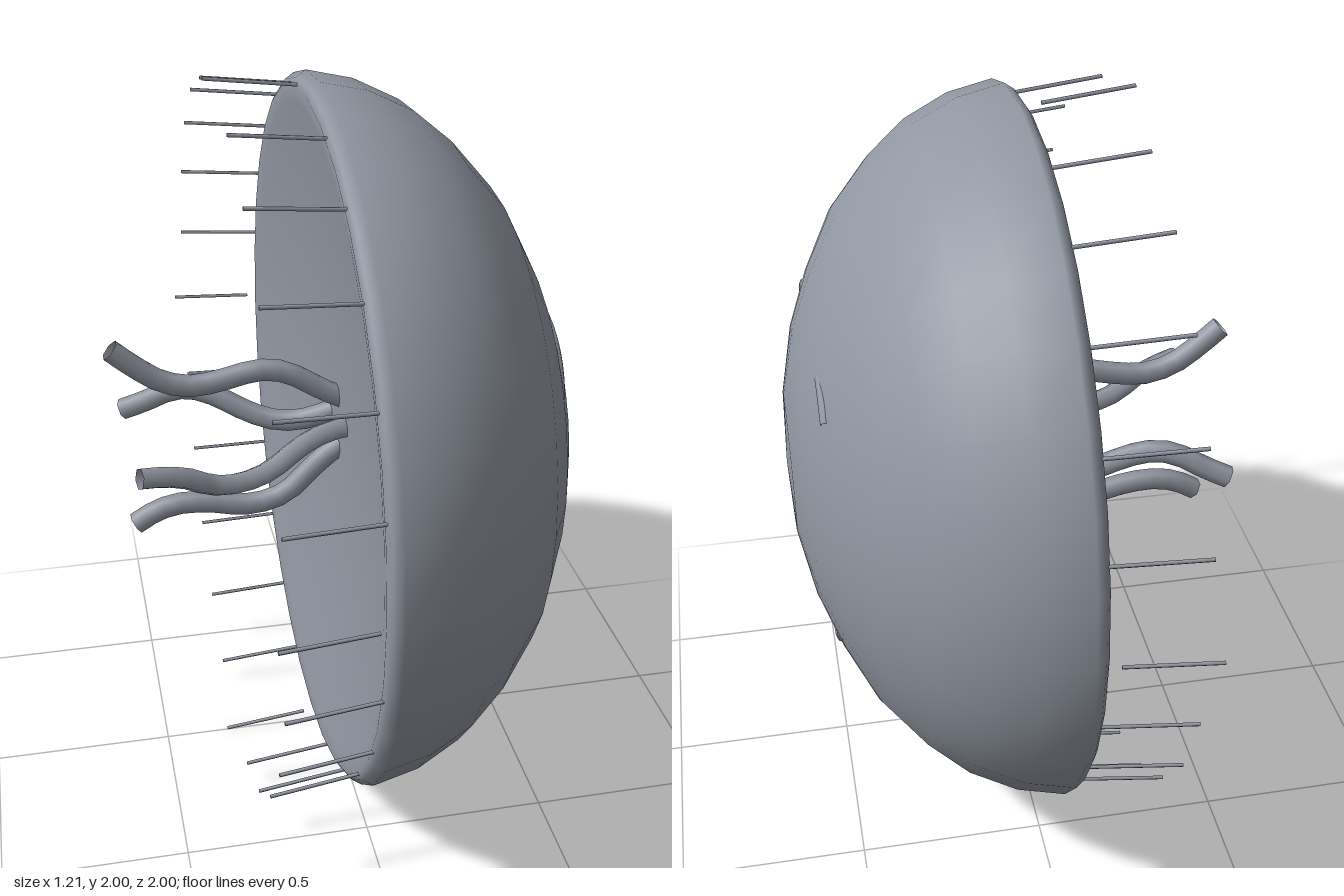
import * as THREE from 'three';

export function createModel() {
  const model = new THREE.Group();
  const grey = new THREE.MeshStandardMaterial({ color: 0x9197a2, side: THREE.DoubleSide });
  grey.name = 'slate grey';

  const add = (name, geometry, parent = model) => {
    const mesh = new THREE.Mesh(geometry, grey);
    mesh.name = name;
    parent.add(mesh);
    return mesh;
  };
  const group = (name) => {
    const g = new THREE.Group();
    g.name = name;
    model.add(g);
    return g;
  };

  // Bell: a lathed dome lying on its side, apex towards +x, with a shallow hollow
  // underside and a rounded rim, given as [x, radius]
  const profile = [
    [0.02, 0], [0.016, 0.2], [0.002, 0.42], [-0.02, 0.63], [-0.042, 0.79], [-0.058, 0.89], [-0.064, 0.935],
    [-0.053, 0.953], [-0.028, 0.97], [0.095, 0.942], [0.215, 0.882],
    [0.315, 0.797], [0.423, 0.67], [0.503, 0.514], [0.56, 0.364], [0.597, 0.19], [0.605, 0],
  ].map(([x, r]) => new THREE.Vector2(r, x));
  const bell = new THREE.LatheGeometry(profile, 32);
  bell.rotateZ(-Math.PI / 2);
  add('bell', bell).position.y = 1;

  // Thin straight tentacles around the rim, the four cardinal ones set further out
  const tentacles = group('rimTentacles');
  for (let i = 0; i < 24; i++) {
    const a = (i * Math.PI) / 12;
    const cardinal = i % 6 === 0;
    const [x0, r0, x1, r1] = cardinal ? [-0.085, 0.967, -0.32, 0.995] : [-0.05, 0.934, -0.297, 0.962];
    const at = (x, r) => new THREE.Vector3(x, 1 + r * Math.cos(a), r * Math.sin(a));
    const start = at(x0, r0);
    const end = at(x1, r1);
    const dir = end.clone().sub(start);
    const mesh = add('rimTentacle', new THREE.CylinderGeometry(0.005, 0.005, dir.length(), 6), tentacles);
    mesh.position.copy(start).add(end).multiplyScalar(0.5);
    mesh.quaternion.setFromUnitVectors(new THREE.Vector3(0, 1, 0), dir.normalize());
  }

  // Wavy oral arms: [x, y] points; the front and back ones spread sideways towards their tips
  const arms = group('oralArms');
  const armPaths = [
    ['upperArm', 0, [[0.03, 1.095], [-0.02, 1.12], [-0.07, 1.153], [-0.13, 1.187], [-0.2, 1.198],
      [-0.29, 1.18], [-0.38, 1.168], [-0.46, 1.19], [-0.53, 1.24], [-0.59, 1.293]]],
    ['lowerArm', 0, [[0.03, 0.95], [-0.02, 0.915], [-0.07, 0.867], [-0.13, 0.812], [-0.2, 0.788],
      [-0.26, 0.787], [-0.34, 0.804], [-0.42, 0.81], [-0.49, 0.795], [-0.552, 0.759]]],
    ['frontArm', 1, [[0.03, 1.055], [-0.02, 1.056], [-0.08, 1.045], [-0.14, 1.015], [-0.2, 0.98],
      [-0.28, 0.966], [-0.36, 0.98], [-0.42, 1.015], [-0.48, 1.037], [-0.55, 1.05]]],
    ['backArm', -1, [[0.03, 1.005], [-0.02, 0.983], [-0.08, 0.965], [-0.15, 0.968], [-0.22, 0.995],
      [-0.3, 1.037], [-0.37, 1.055], [-0.43, 1.042], [-0.49, 1.01], [-0.555, 0.982]]],
  ];
  for (const [name, side, pts] of armPaths) {
    const path = new THREE.CatmullRomCurve3(
      pts.map(([x, y]) => new THREE.Vector3(x, y, side * (0.11 - 0.28 * x))));
    add(name, new THREE.TubeGeometry(path, 14, 0.03, 6), arms);
  }

  // Curved ridges breaking through the bell: [centre z, centre y, start and end angle in degrees]
  const ridges = group('bellRidges');
  for (const [z, y, from, to] of [[1, 1, 5, 85], [-1, 1, 95, 139], [-1, -1, 215, 265], [1, -1, -85, -5]]) {
    const span = THREE.MathUtils.degToRad(to - from);
    const arc = new THREE.TorusGeometry(0.2, 0.019, 8, 8, span);
    arc.rotateZ(THREE.MathUtils.degToRad(from));
    // Turn the arc's plane so its local x runs along +z
    arc.applyMatrix4(new THREE.Matrix4().makeBasis(
      new THREE.Vector3(0, 0, 1), new THREE.Vector3(0, 1, 0), new THREE.Vector3(-1, 0, 0)));
    add('bellRidge', arc, ridges).position.set(0.504, 1 + 0.2 * y, 0.2 * z);
  }

  return model;
}
